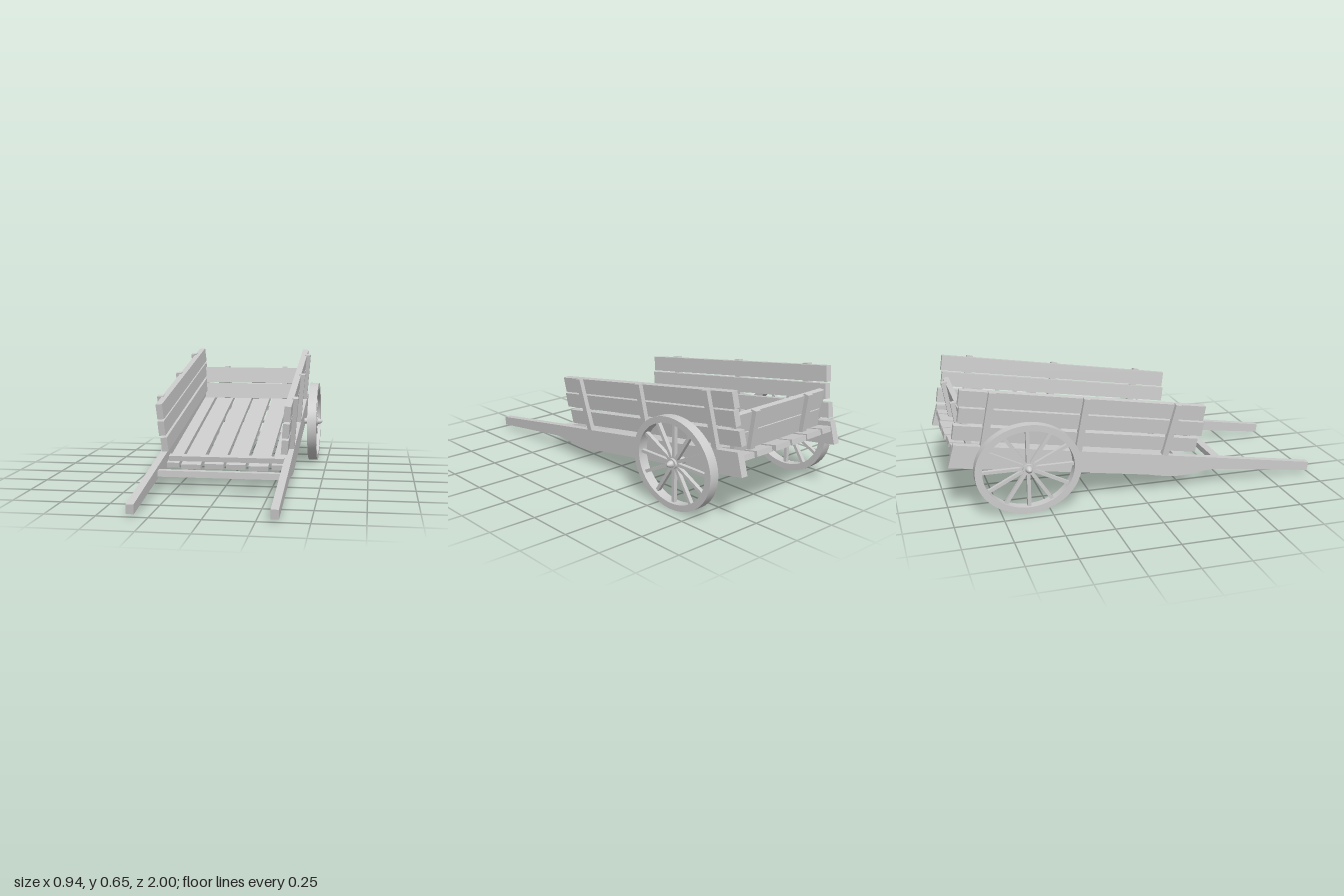
import * as THREE from 'three';
import { toCreasedNormals } from 'three/addons/utils/BufferGeometryUtils.js';

const wood = new THREE.MeshStandardMaterial({ color: 0xcccccc });

function add(parent, name, geometry, x = 0, y = 0, z = 0) {
  const mesh = new THREE.Mesh(geometry, wood);
  mesh.name = name;
  mesh.position.set(x, y, z);
  parent.add(mesh);
  return mesh;
}

// Box given by its limits on each axis
function beam(parent, name, [x0, x1], [y0, y1], [z0, z1]) {
  return add(parent, name, new THREE.BoxGeometry(x1 - x0, y1 - y0, z1 - z0),
    (x0 + x1) / 2, (y0 + y1) / 2, (z0 + z1) / 2);
}

function subgroup(parent, name, x, y, z, tilt = 0) {
  const g = new THREE.Group();
  g.name = name;
  g.position.set(x, y, z);
  g.rotation.x = tilt;
  parent.add(g);
  return g;
}

// Long shaft: handle in front, deep rail under the bed
function shaftGeometry() {
  const s = new THREE.Shape();
  s.moveTo(1, 0.06);
  s.lineTo(-0.965, 0.374);
  s.lineTo(-0.997, 0.258);
  s.lineTo(0.05, 0.098);
  s.bezierCurveTo(0.17, 0.07, 0.22, 0.066, 0.3, 0.074);
  s.quadraticCurveTo(0.38, 0.088, 0.45, 0.084);
  s.lineTo(0.993, 0.013);
  const g = new THREE.ExtrudeGeometry(s, { depth: 0.038, bevelEnabled: false, curveSegments: 8 });
  return toCreasedNormals(g.rotateY(-Math.PI / 2), 0.5);
}

function buildWheel(parent, side) {
  const wheel = subgroup(parent, 'wheel', side * 0.416, 0.236, -0.607);
  wheel.scale.z = 1.16; // slightly oval
  const ring = new THREE.Shape().absarc(0, 0, 0.235, 0, Math.PI * 2);
  ring.holes.push(new THREE.Path().absarc(0, 0, 0.203, 0, Math.PI * 2, true));
  const rim = new THREE.ExtrudeGeometry(ring, { depth: 0.052, bevelEnabled: false, curveSegments: 32 });
  rim.translate(0, 0, -0.026).rotateY(Math.PI / 2);
  add(wheel, 'rim', toCreasedNormals(rim, 0.6));
  for (let i = 0; i < 12; i++) {
    const spoke = new THREE.BoxGeometry(0.02, 0.19, 0.016).translate(0, 0.113, 0);
    add(wheel, 'spoke', spoke).rotation.x = i * Math.PI / 6;
  }
  add(wheel, 'hub', new THREE.CylinderGeometry(0.026, 0.026, 0.044, 24).rotateZ(Math.PI / 2));
}

function buildSide(parent, side) {
  // Frame lies along the shaft top and leans outward
  const frame = subgroup(parent, 'sideFrame', 0, 0.22, 0, 0.1585);
  const panel = subgroup(frame, 'sidePanel', side * 0.333, 0.02, 0);
  panel.rotation.z = -side * 0.085;
  const across = (a, b) => (side > 0 ? [a, b] : [-b, -a]);
  const boards = [
    [0, 0.077, -0.984, 0.324],
    [0.094, 0.172, -0.968, 0.341],
    [0.181, 0.263, -0.977, 0.331],
  ];
  for (const [y0, y1, z0, z1] of boards)
    beam(panel, 'sideBoard', across(-0.035, 0), [y0, y1], [z0, z1]);
  for (const [z, lean] of [[0.159, 0.073], [-0.332, 0], [-0.822, 0.02]]) {
    const post = beam(panel, 'sidePost', across(-0.01, 0.024), [-0.02, 0.268], [z - 0.017, z + 0.017]);
    post.rotation.x = lean;
  }
}

export function createModel() {
  const cart = new THREE.Group();
  cart.name = 'handcart';

  // Shafts, side panels and wheels, mirrored
  for (const side of [1, -1]) {
    add(cart, 'shaft', shaftGeometry(), side > 0 ? 0.356 : -0.318);
    buildSide(cart, side);
    buildWheel(cart, side);
  }

  // Crossbar between the handles
  beam(cart, 'handleCrossbar', [-0.322, 0.322], [0.09, 0.122], [0.456, 0.498]);

  // Axle with rounded ends
  const axle = [[0, -0.468], [0.009, -0.463], [0.016, -0.45], [0.019, -0.436], [0.017, -0.41],
    [0.017, 0.41], [0.019, 0.436], [0.016, 0.45], [0.009, 0.463], [0, 0.468]]
    .map(([r, y]) => new THREE.Vector2(r, y));
  add(cart, 'axle', new THREE.LatheGeometry(axle, 20).rotateZ(Math.PI / 2), 0, 0.236, -0.607);

  // Floor planks with battens below and a sill on top
  const bed = subgroup(cart, 'bed', 0, 0.147, 0, 0.18);
  const planks = [
    [-0.316, -0.25, -0.99, 0.285], [-0.235, -0.13, -0.992, 0.305], [-0.112, -0.009, -1.0, 0.29],
    [0.005, 0.108, -1.0, 0.292], [0.126, 0.231, -0.992, 0.305], [0.247, 0.316, -0.99, 0.285],
  ];
  for (const [x0, x1, z0, z1] of planks)
    beam(bed, 'floorPlank', [x0, x1], [0, 0.028], [z0, z1]);
  for (const z of [-0.847, -0.353, 0.118])
    beam(bed, 'floorBatten', [-0.32, 0.32], [-0.028, 0], [z - 0.017, z + 0.017]);
  beam(bed, 'frontSill', [-0.31, 0.31], [0.028, 0.056], [0.222, 0.258]);

  // Tailboard leaning back
  const tail = subgroup(cart, 'tailboard', 0, 0.338, -0.866, -0.15);
  beam(tail, 'tailBoardLower', [-0.308, 0.308], [0.002, 0.098], [-0.028, 0]);
  beam(tail, 'tailBoardUpper', [-0.316, 0.316], [0.103, 0.2], [-0.028, 0]);
  for (const x of [-0.174, 0.203])
    beam(tail, 'tailPost', [x - 0.016, x + 0.016], [-0.004, 0.21], [-0.052, -0.02]);

  return cart;
}
